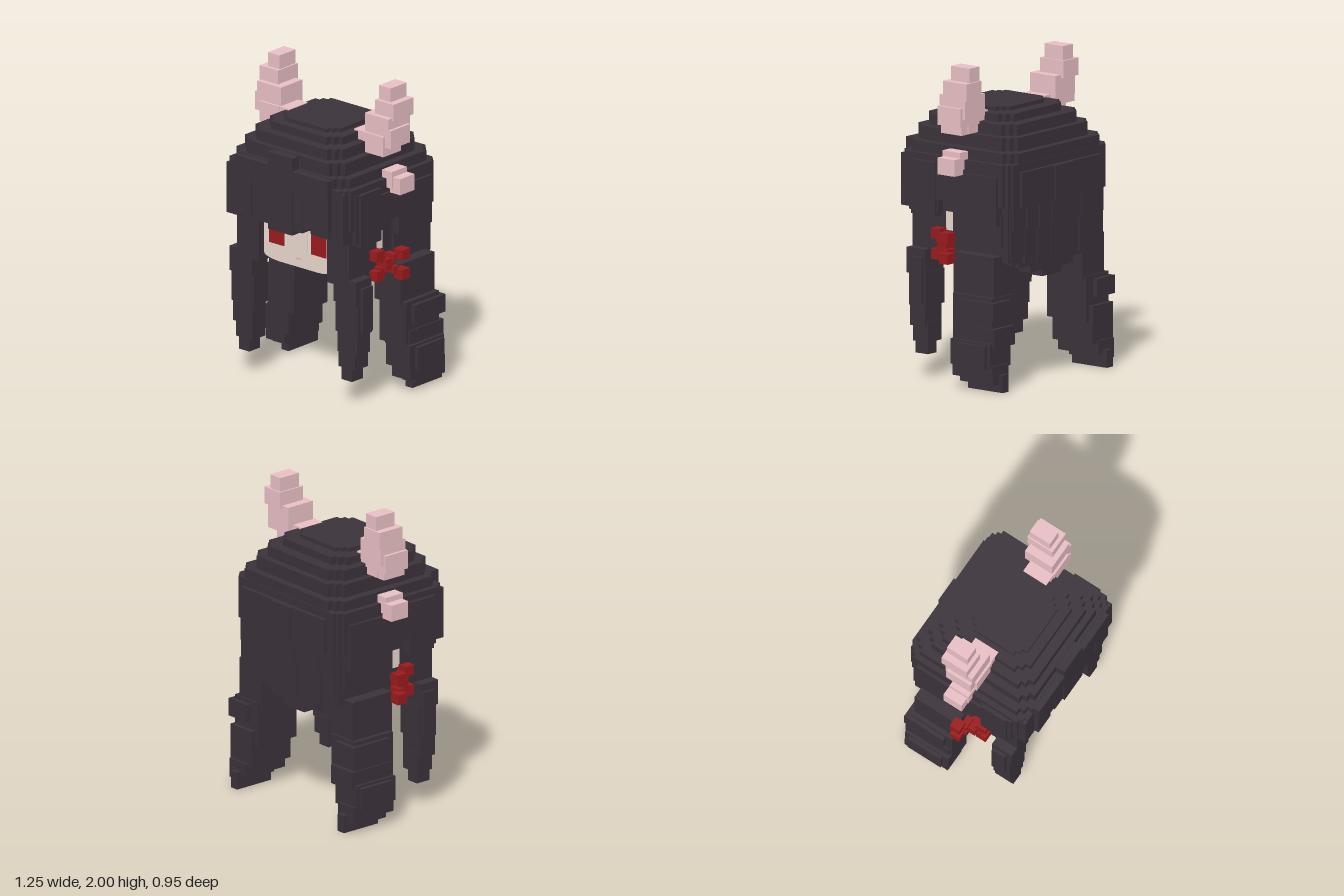
import * as THREE from 'three';

const mat = (name, color) => Object.assign(new THREE.MeshStandardMaterial({ color }), { name });

export function createModel() {
  const hair = mat('dark hair', 0x3a323a);
  const pink = mat('horn pink', 0xe8bfc4);
  const red = mat('red', 0x991a1c);
  const skin = mat('skin', 0xecdbd0);
  const white = mat('eye white', 0xfaeee3);
  const mouthMat = mat('mouth pink', 0xe8b0ac);

  const root = new THREE.Group();
  const group = (name) => {
    const g = new THREE.Group();
    g.name = name;
    root.add(g);
    return g;
  };
  // Box given by its limits on each axis
  const box = (g, name, m, x0, x1, y0, y1, z0, z1) => {
    const mesh = new THREE.Mesh(new THREE.BoxGeometry(x1 - x0, y1 - y0, z1 - z0), m);
    mesh.position.set((x0 + x1) / 2, (y0 + y1) / 2, (z0 + z1) / 2);
    mesh.name = name;
    g.add(mesh);
  };
  // The same boxes on both sides; rows are [x0, x1, y0, y1, z0, z1]
  const pair = (name, m, rows) => {
    for (const [side, s] of [['left', 1], ['right', -1]]) {
      const g = group(side + name);
      for (const [a, b, ...r] of rows) box(g, name, m, Math.min(a * s, b * s), Math.max(a * s, b * s), ...r);
    }
  };
  // Horizontal slab whose corners are cut into two stair steps
  const slab = (g, name, m, w, z0, z1, y0, y1, n) => {
    const c = (z0 + z1) / 2, d = (z1 - z0) / 2;
    const corner = [[w, d - 2 * n], [w - n, d - 2 * n], [w - n, d - n], [w - 2 * n, d - n], [w - 2 * n, d]];
    const flip = (sx, sz) => corner.map(([x, z]) => new THREE.Vector2(x * sx, z * sz));
    const outline = [...flip(1, 1), ...flip(-1, 1).reverse(), ...flip(-1, -1), ...flip(1, -1).reverse()];
    const geo = new THREE.ExtrudeGeometry(new THREE.Shape(outline), { depth: y1 - y0, bevelEnabled: false });
    geo.rotateX(-Math.PI / 2);
    const mesh = new THREE.Mesh(geo, m);
    mesh.position.set(0, y0, c);
    mesh.name = name;
    g.add(mesh);
  };

  // Head with a gently rounded chin
  const head = group('head');
  box(head, 'face', skin, -0.42, 0.42, 0.82, 1.16, -0.1, 0.31);
  const chin = new THREE.Shape();
  chin.moveTo(-0.28, 0.83);
  chin.lineTo(-0.28, 0.812);
  chin.quadraticCurveTo(-0.24, 0.79, -0.16, 0.788);
  chin.lineTo(0.16, 0.788);
  chin.quadraticCurveTo(0.24, 0.79, 0.28, 0.812);
  chin.lineTo(0.28, 0.83);
  const jaw = new THREE.Mesh(new THREE.ExtrudeGeometry(chin, { depth: 0.41, bevelEnabled: false, curveSegments: 4 }), skin);
  jaw.position.z = -0.101;
  jaw.name = 'chin';
  head.add(jaw);
  box(head, 'nosePanel', skin, -0.09, 0.08, 0.9, 1.04, 0.308, 0.316);
  box(head, 'mouth', mouthMat, -0.017, 0.017, 0.84, 0.85, 0.308, 0.314);
  pair('Eye', red, [[0.11, 0.235, 0.9, 1.04, 0.309, 0.317]]);
  pair('EyeWhite', white, [[0.085, 0.28, 0.9, 1.035, 0.307, 0.313]]);
  pair('Eyelash', hair, [[0.11, 0.265, 1.035, 1.06, 0.311, 0.32], [0.24, 0.27, 1.03, 1.05, 0.311, 0.32]]);
  pair('Temple', skin, [[0.4, 0.455, 0.95, 1.08, 0.03, 0.11]]);

  // Stepped crown, from the top down: half width, back, front, bottom, top, notch
  const crown = group('hairCrown');
  [
    [0.23, -0.175, 0.24, 1.66, 1.715, 0.03],
    [0.3, -0.26, 0.305, 1.62, 1.69, 0.035],
    [0.36, -0.335, 0.37, 1.56, 1.64, 0.035],
    [0.41, -0.38, 0.41, 1.47, 1.57, 0.035],
    [0.465, -0.43, 0.43, 1.4, 1.485, 0.035],
    [0.5, -0.435, 0.435, 1.15, 1.42, 0.025],
  ].forEach(([w, z0, z1, y0, y1, n]) => slab(crown, 'crownStep', hair, w, z0, z1, y0, y1, n));

  // Fringe
  const fringe = group('fringe');
  box(fringe, 'fringeCentre', hair, -0.105, 0.095, 1.06, 1.565, 0.38, 0.475);
  box(fringe, 'fringeBand', hair, -0.385, 0.385, 1.34, 1.48, 0.4, 0.475);
  [
    [-0.2, -0.1, 1.09, 1.48, 0.465], [0.09, 0.17, 1.09, 1.48, 0.465],
    [-0.255, -0.195, 1.11, 1.42, 0.46], [0.165, 0.255, 1.12, 1.42, 0.46],
    [-0.385, -0.25, 1.1, 1.4, 0.468], [0.25, 0.385, 1.1, 1.4, 0.468],
  ].forEach(([x0, x1, y0, y1, z]) => box(fringe, 'fringeLock', hair, x0, x1, y0, y1, 0.37, z));

  // Side hair, leaving a gap at the temple
  pair('SideHair', hair, [
    [0.36, 0.48, 1.07, 1.4, 0.33, 0.435],
    [0.28, 0.46, 0.77, 1.18, 0.2, 0.36],
    [0.4, 0.46, 0.78, 1.18, 0.1, 0.25],
    [0.38, 0.525, 1.04, 1.38, 0.13, 0.32],
    [0.38, 0.51, 1.06, 1.38, 0.12, 0.35],
    [0.38, 0.52, 1.15, 1.33, -0.3, 0.32],
    [0.38, 0.46, 1.07, 1.18, -0.05, 0.13],
    [0.38, 0.45, 0.78, 0.97, 0.03, 0.11],
    [0.36, 0.46, 0.8, 1.18, -0.4, 0.04],
    [0.38, 0.52, 1.03, 1.34, -0.35, -0.04],
    [0.4, 0.48, 0.9, 1.1, -0.36, -0.04],
  ]);

  // Back hair: core, overlapping panels and hanging locks
  const back = group('backHair');
  box(back, 'backCore', hair, -0.42, 0.42, 0.78, 1.18, -0.4, 0.04);
  box(back, 'backPanel', hair, -0.395, 0.395, 1.15, 1.37, -0.462, -0.38);
  box(back, 'backCentre', hair, -0.085, 0.085, 1.15, 1.37, -0.475, -0.38);
  [
    [-0.45, -0.31, 0.84, -0.415], [-0.32, -0.2, 0.745, -0.43], [-0.21, -0.09, 0.7, -0.42],
    [-0.1, 0.09, 0.66, -0.435], [0.08, 0.21, 0.7, -0.43], [0.2, 0.32, 0.745, -0.42], [0.31, 0.45, 0.82, -0.415],
  ].forEach(([x0, x1, y, z]) => {
    box(back, 'backLock', hair, x0, x1, Math.max(y, 0.78), 1.2, z, -0.33);
    box(back, 'backLockTip', hair, x0, x1, y, 0.9, -0.37, -0.28);
    box(back, 'backLockUpper', hair, x0 + 0.01, x1 - 0.01, 1, 1.2, z - 0.01, -0.35);
  });

  // Front locks hanging beside the face
  pair('FrontLock', hair, [
    [0.335, 0.52, 0.66, 0.82, 0.215, 0.36],
    [0.46, 0.54, 0.48, 0.77, 0.225, 0.32],
    [0.335, 0.52, 0.46, 0.68, 0.21, 0.342],
    [0.35, 0.51, 0.33, 0.48, 0.22, 0.342],
    [0.355, 0.49, 0.23, 0.36, 0.215, 0.335],
    [0.38, 0.465, 0.15, 0.25, 0.235, 0.335],
  ]);

  // Long rear tails that swing outward
  pair('Tail', hair, [
    [0.33, 0.54, 0.57, 0.84, -0.35, -0.03],
    [0.35, 0.57, 0.3, 0.59, -0.36, -0.05],
    [0.42, 0.595, 0.45, 0.565, -0.39, -0.1],
    [0.38, 0.58, 0.28, 0.4, -0.39, -0.07],
    [0.4, 0.6, 0.15, 0.31, -0.37, -0.055],
    [0.5, 0.625, 0.15, 0.295, -0.345, -0.1],
    [0.44, 0.595, 0.08, 0.17, -0.385, -0.065],
    [0.48, 0.59, 0.05, 0.12, -0.39, -0.12],
    [0.48, 0.54, 0, 0.11, -0.42, -0.145],
  ]);

  // Horns curving upward
  pair('Horn', pink, [
    [0.265, 0.455, 1.575, 1.7, -0.08, 0.09],
    [0.345, 0.51, 1.57, 1.7, -0.07, 0.095],
    [0.37, 0.56, 1.63, 1.75, -0.1, 0.08],
    [0.345, 0.54, 1.68, 1.82, -0.12, 0.08],
    [0.4, 0.55, 1.8, 1.91, -0.14, 0.045],
    [0.41, 0.505, 1.9, 2, -0.13, 0.02],
  ]);

  // Pointed ears
  pair('Ear', pink, [
    [0.44, 0.545, 1.36, 1.47, -0.085, 0.055],
    [0.52, 0.605, 1.33, 1.435, -0.09, 0.045],
  ]);

  // Cross-shaped ribbons
  pair('Ribbon', red, [
    [0.44, 0.54, 0.83, 0.905, 0.03, 0.1],
    [0.48, 0.56, 0.885, 0.93, 0.005, 0.05],
    [0.48, 0.56, 0.805, 0.85, 0.005, 0.05],
    [0.45, 0.52, 0.885, 0.93, 0.08, 0.125],
    [0.45, 0.52, 0.805, 0.85, 0.08, 0.125],
    [0.54, 0.61, 0.9, 0.965, -0.04, 0.03],
    [0.54, 0.61, 0.77, 0.835, -0.04, 0.03],
    [0.45, 0.52, 0.9, 0.965, 0.095, 0.165],
    [0.45, 0.52, 0.77, 0.835, 0.095, 0.165],
  ]);

  return root;
}
